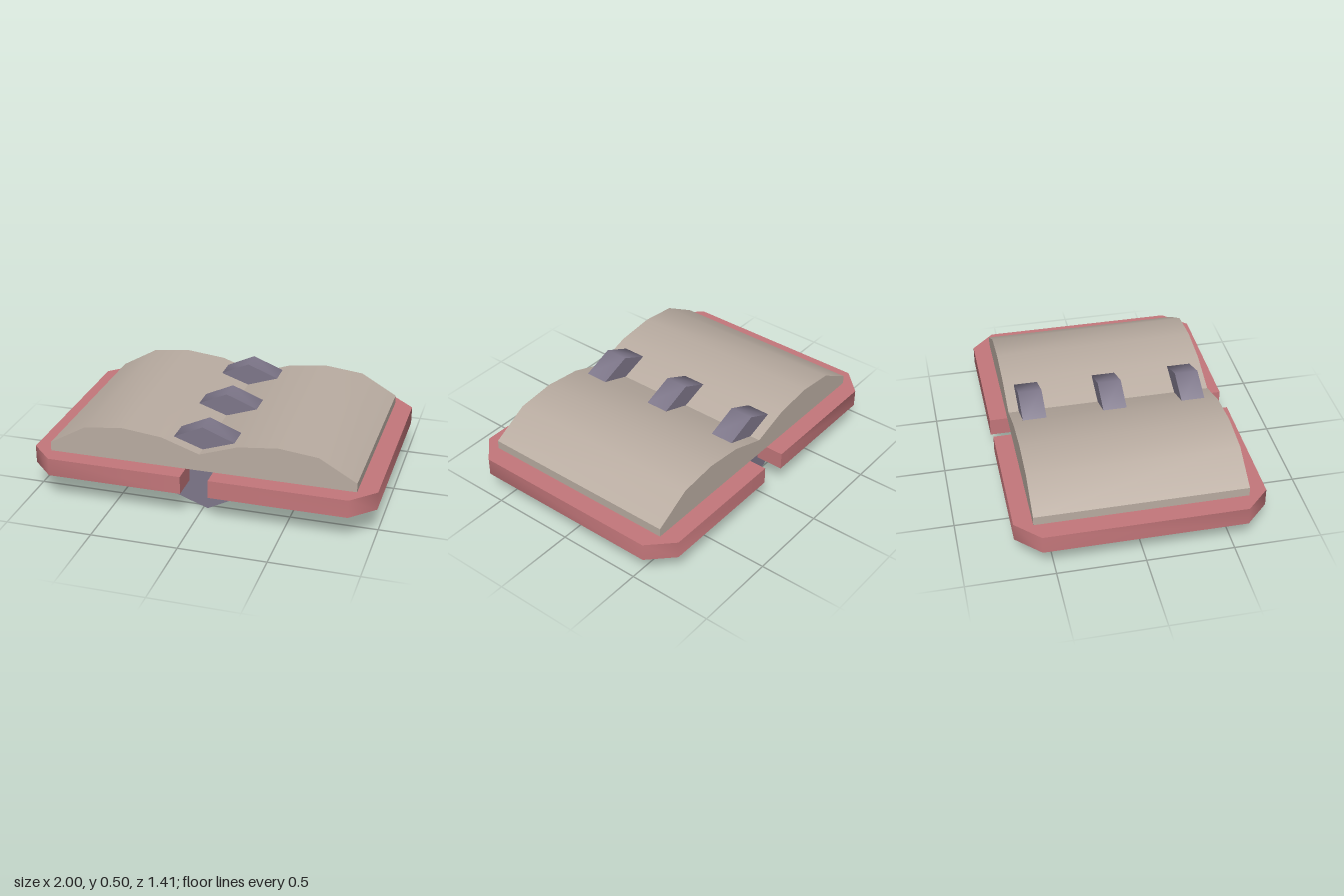
import * as THREE from 'three';
import { toCreasedNormals } from 'three/addons/utils/BufferGeometryUtils.js';

const red = new THREE.MeshStandardMaterial({ color: 0xc4777b });
red.name = 'cover red';
const paper = new THREE.MeshStandardMaterial({ color: 0xbaada2 });
paper.name = 'paper beige';
const steel = new THREE.MeshStandardMaterial({ color: 0x7e778a });
steel.name = 'ring grey';

// Extrudes an outline along z, centred on z = 0
function prism(points, depth, crease) {
  const shape = new THREE.Shape(points.map(([x, y]) => new THREE.Vector2(x, y)));
  const geometry = new THREE.ExtrudeGeometry(shape, { depth, bevelEnabled: false });
  geometry.translate(0, 0, -depth / 2);
  return toCreasedNormals(geometry, crease);
}

function addMesh(group, name, geometry, material) {
  const mesh = new THREE.Mesh(geometry, material);
  mesh.name = name;
  group.add(mesh);
  return mesh;
}

export function createModel() {
  const book = new THREE.Group();
  book.name = 'openRingBook';

  // Two cover boards with cut outer corners and a gap between them
  for (const side of [1, -1]) {
    const outline = [[0.08, -0.705], [0.865, -0.705], [1, -0.57], [1, 0.57], [0.865, 0.705], [0.08, 0.705]]
      .map(([x, z]) => [x * side, z]);
    const board = prism(outline, 0.105, 0.9);
    board.rotateX(-Math.PI / 2);
    const mesh = addMesh(book, side > 0 ? 'leftCover' : 'rightCover', board, red);
    mesh.position.y = 0.2175;
  }

  // Arched page blocks meeting in a valley
  const arch = [[0.89, 0.27], [0.89, 0.322], [0.675, 0.445], [0.45, 0.47], [0.22, 0.445]];
  const mirrored = arch.map(([x, y]) => [-x, y]).reverse();
  addMesh(book, 'pages', prism([...arch, [0, 0.37], ...mirrored], 1.2, 0.6), paper);

  // Three binding rings through the gap
  const ringOutline = [[0, 0.505], [-0.182, 0.421], [-0.25, 0.24], [-0.157, 0.067],
    [0.027, 0], [0.198, 0.09], [0.25, 0.265], [0.183, 0.434]];
  const ring = prism(ringOutline, 0.138, 0.9);
  for (const z of [-0.47, 0, 0.465]) {
    addMesh(book, 'bindingRing', ring, steel).position.z = z;
  }
  return book;
}
